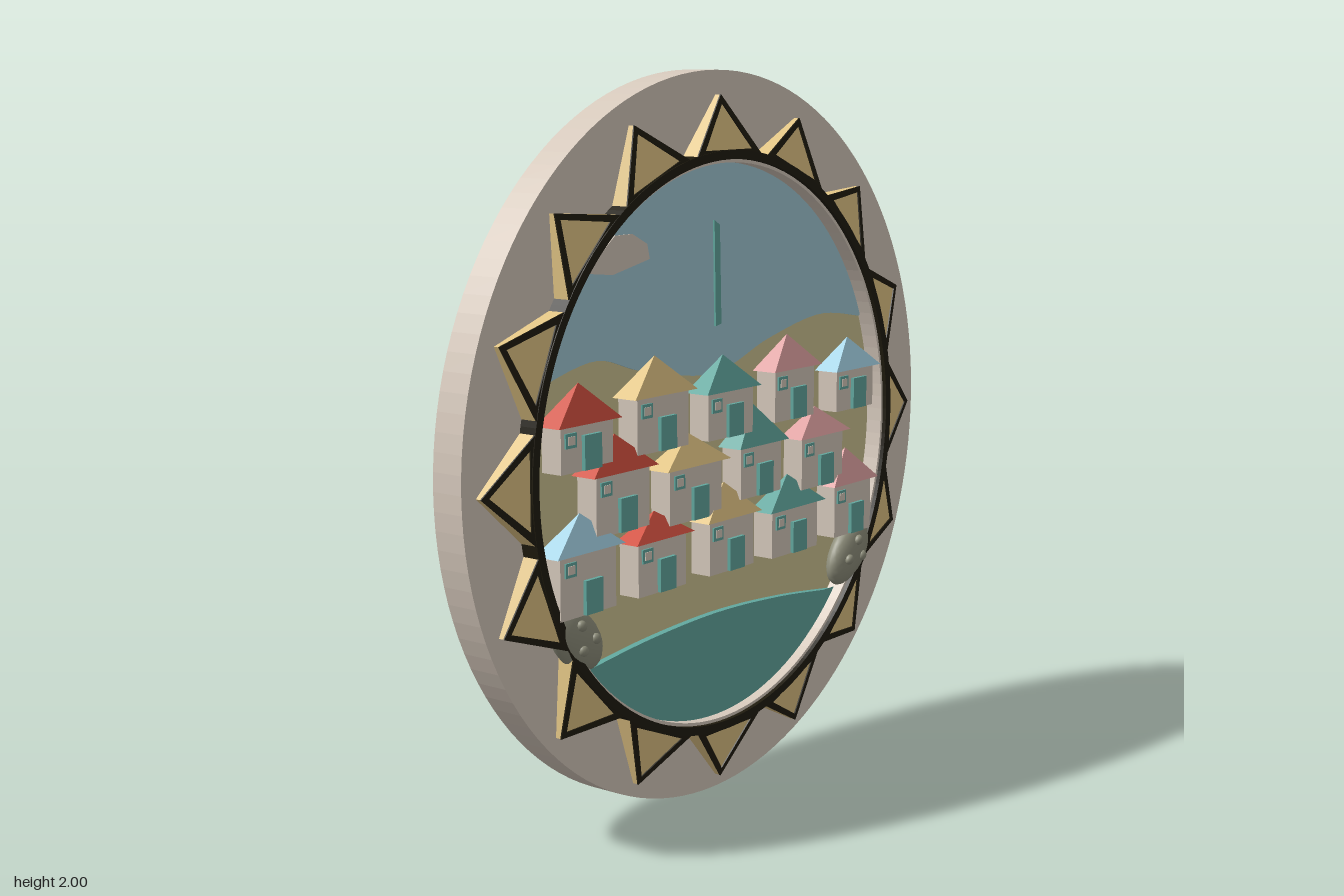
import * as THREE from 'three';

const mat = (name, color) => {
  const m = new THREE.MeshStandardMaterial({ color });
  m.name = name;
  return m;
};

export function createModel() {
  const M = {
    stone: mat('pale stone', 0xd6c9bc), sand: mat('sand', 0xcfc592),
    sky: mat('sky blue', 0xa3cad6), teal: mat('teal', 0x62a89f),
    yellow: mat('yellow', 0xe2c585), red: mat('red', 0xd2503f),
    pink: mat('pink', 0xe0a2a2), blue: mat('light blue', 0xa9d9ec),
    dark: mat('dark outline', 0x1f1b0e), rock: mat('rock grey', 0x8f8f7c),
  };
  const root = new THREE.Group();
  root.name = 'roundRelief';
  const CY = 0.985; // centre height of the picture, a touch below the rim centre

  const add = (parent, name, geo, material, x = 0, y = 0, z = 0) => {
    const m = new THREE.Mesh(geo, material);
    m.name = name;
    m.position.set(x, y, z);
    parent.add(m);
    return m;
  };
  const extrude = (shape, depth) =>
    new THREE.ExtrudeGeometry(shape, { depth, bevelEnabled: false, curveSegments: 64 });
  const polygon = (pts) => new THREE.Shape(pts.map(([x, y]) => new THREE.Vector2(x, y)));
  const ring = (outer, inner, depth, holeY = 0) => {
    const s = new THREE.Shape().absarc(0, 0, outer, 0, Math.PI * 2);
    s.holes.push(new THREE.Path().absarc(0, holeY, inner, 0, Math.PI * 2, true));
    return extrude(s, depth);
  };

  // Backing disc and rim
  add(root, 'backPanel', extrude(new THREE.Shape().absarc(0, 0, 0.998, 0, Math.PI * 2), 0.085),
    M.sand, 0, 1, -0.085);
  add(root, 'rim', ring(1, 0.78, 0.094, CY - 1), M.stone, 0, 1, -0.084);

  // Picture in a shallow recess
  const picture = new THREE.Group();
  picture.name = 'picture';
  picture.position.y = CY;
  root.add(picture);
  add(picture, 'innerLip', ring(0.787, 0.77, 0.05), M.stone);
  add(picture, 'darkRing', ring(0.803, 0.779, 0.062), M.dark);

  // Area between an arc of the picture circle and a smooth edge line
  const segment = (edge, from, to) => {
    const pts = new THREE.SplineCurve(edge.map(([x, y]) => new THREE.Vector2(x, y - CY))).getPoints(40);
    for (let i = 0; i <= 48; i++) {
      const a = from + (to - from) * i / 48;
      pts.push(new THREE.Vector2(0.775 * Math.cos(a), 0.775 * Math.sin(a)));
    }
    return new THREE.Shape(pts);
  };
  const angle = (x, y) => Math.atan2(y - CY, x);
  const hills = [[-0.735, 1.22], [-0.5, 1.27], [-0.3, 1.22], [0, 1.18], [0.25, 1.25], [0.5, 1.295], [0.71, 1.27]];
  add(picture, 'sky', extrude(segment(hills, angle(0.715, 1.275), angle(-0.738, 1.225)), 0.006), M.sky);
  const shore = [[-0.575, 0.465], [-0.3, 0.495], [0, 0.508], [0.3, 0.493], [0.585, 0.46]];
  add(picture, 'water', extrude(segment(shore, angle(0.59, 0.458), angle(-0.58, 0.462)), 0.02), M.teal);
  add(picture, 'cloud', extrude(polygon([[-0.52, 0.51], [-0.43, 0.5], [-0.28, 0.53], [-0.29, 0.57],
    [-0.35, 0.6], [-0.42, 0.6], [-0.46, 0.57], [-0.52, 0.55]]), 0.003), M.stone, 0, 0, 0.006);
  add(picture, 'skyStroke', extrude(polygon([[0, 0.325], [0.025, 0.33], [0.018, 0.6], [-0.006, 0.615]]), 0.006),
    M.teal, 0, 0, 0.006);

  // Sixteen sloping rays, each with a dark border on its face
  const slope = (geo, back, thick) => {
    const p = geo.attributes.position;
    for (let i = 0; i < p.count; i++) {
      const face = 0.057 - (p.getY(i) - 0.79) * 0.2;
      p.setZ(i, p.getZ(i) > 0.5 ? face + thick : back ?? face);
    }
    geo.computeVertexNormals();
    return geo;
  };
  const tri = (w, y0, y1) => [[-w, y0], [w, y0], [0, y1]];
  const rayGeo = slope(extrude(polygon(tri(0.14, 0.79, 0.95)), 1), 0.005, 0);
  const border = polygon(tri(0.141, 0.789, 0.951));
  border.holes.push(polygon(tri(0.104, 0.804, 0.928)));
  const borderGeo = slope(extrude(border, 1), null, 0.004);
  for (let i = 0; i < 16; i++) {
    const ray = new THREE.Group();
    ray.name = 'ray';
    ray.rotation.z = i * Math.PI / 8;
    add(ray, 'rayBody', rayGeo, M.yellow);
    add(ray, 'rayBorder', borderGeo, M.dark);
    picture.add(ray);
  }

  // Hip roof; its right slope may have its own colour
  const roofGeo = (w, h) => {
    const a = [-w, 0, 0.078], b = [w, 0, 0.078], c = [w, 0, 0], d = [-w, 0, 0], t = [0, h, 0.035];
    const g = new THREE.BufferGeometry();
    g.setAttribute('position', new THREE.Float32BufferAttribute(
      [a, b, t, c, d, t, d, a, t, a, d, c, a, c, b, b, c, t].flat(), 3));
    g.computeVertexNormals();
    g.addGroup(0, 15, 0);
    g.addGroup(15, 3, 1);
    return g;
  };

  // Houses: x, apex, eave, base, roof half width, roof colour, right slope colour
  const houses = [
    [-0.6, 1.23, 1.13, 1.01, 0.122, 'red', 'red'], [-0.295, 1.265, 1.165, 1.015, 0.13, 'yellow', 'red'],
    [0, 1.235, 1.14, 1.01, 0.122, 'teal', 'teal'], [0.3, 1.26, 1.165, 1.02, 0.115, 'pink', 'red'],
    [0.605, 1.22, 1.13, 1.01, 0.115, 'blue', 'teal'],
    [-0.46, 1.08, 0.985, 0.825, 0.13, 'red', 'red'], [-0.155, 1.04, 0.955, 0.805, 0.138, 'yellow', 'yellow'],
    [0.14, 1.08, 0.97, 0.825, 0.115, 'teal', 'teal'], [0.44, 1.035, 0.955, 0.805, 0.125, 'pink', 'red'],
    [-0.6, 0.895, 0.8, 0.635, 0.132, 'blue', 'blue'], [-0.3, 0.85, 0.78, 0.635, 0.122, 'red', 'red'],
    [0.005, 0.88, 0.785, 0.635, 0.122, 'yellow', 'yellow'], [0.305, 0.855, 0.765, 0.63, 0.135, 'teal', 'teal'],
    [0.6, 0.89, 0.79, 0.635, 0.115, 'pink', 'red'],
  ];
  for (const [x, apex, eave, base, w, front, side] of houses) {
    const house = new THREE.Group();
    house.name = 'house';
    house.position.set(x, base, 0);
    const h = eave - base, ww = w * 0.82;
    add(house, 'walls', new THREE.BoxGeometry(ww * 2, h, 0.064), M.stone, 0, h / 2, 0.032);
    add(house, 'roof', roofGeo(w, apex - eave), [M[front], M[side]], 0, h, 0);
    add(house, 'door', new THREE.BoxGeometry(0.066, 0.09, 0.014), M.teal, 0.012, 0.047, 0.068);
    add(house, 'windowFrame', new THREE.BoxGeometry(0.042, 0.038, 0.008), M.teal, -ww * 0.66, h - 0.036, 0.065);
    add(house, 'windowPane', new THREE.BoxGeometry(0.026, 0.022, 0.006), M.stone, -ww * 0.66, h - 0.036, 0.068);
    root.add(house);
  }

  // Mirrored boulders with pebbles at the shore
  const ball = new THREE.SphereGeometry(1, 20, 14);
  for (const s of [-1, 1]) {
    const rock = new THREE.Group();
    rock.name = 'boulder';
    rock.position.set(s * 0.62, 0.57, 0.035);
    rock.rotation.z = s * 0.75;
    add(rock, 'boulderBody', ball, M.rock).scale.set(0.115, 0.07, 0.04);
    for (const [px, py] of [[-0.04, 0.02], [0.03, 0.025], [0.01, -0.025]])
      add(rock, 'pebble', ball, M.rock, px, py, 0.036).scale.set(0.016, 0.014, 0.012);
    root.add(rock);
  }
  return root;
}
